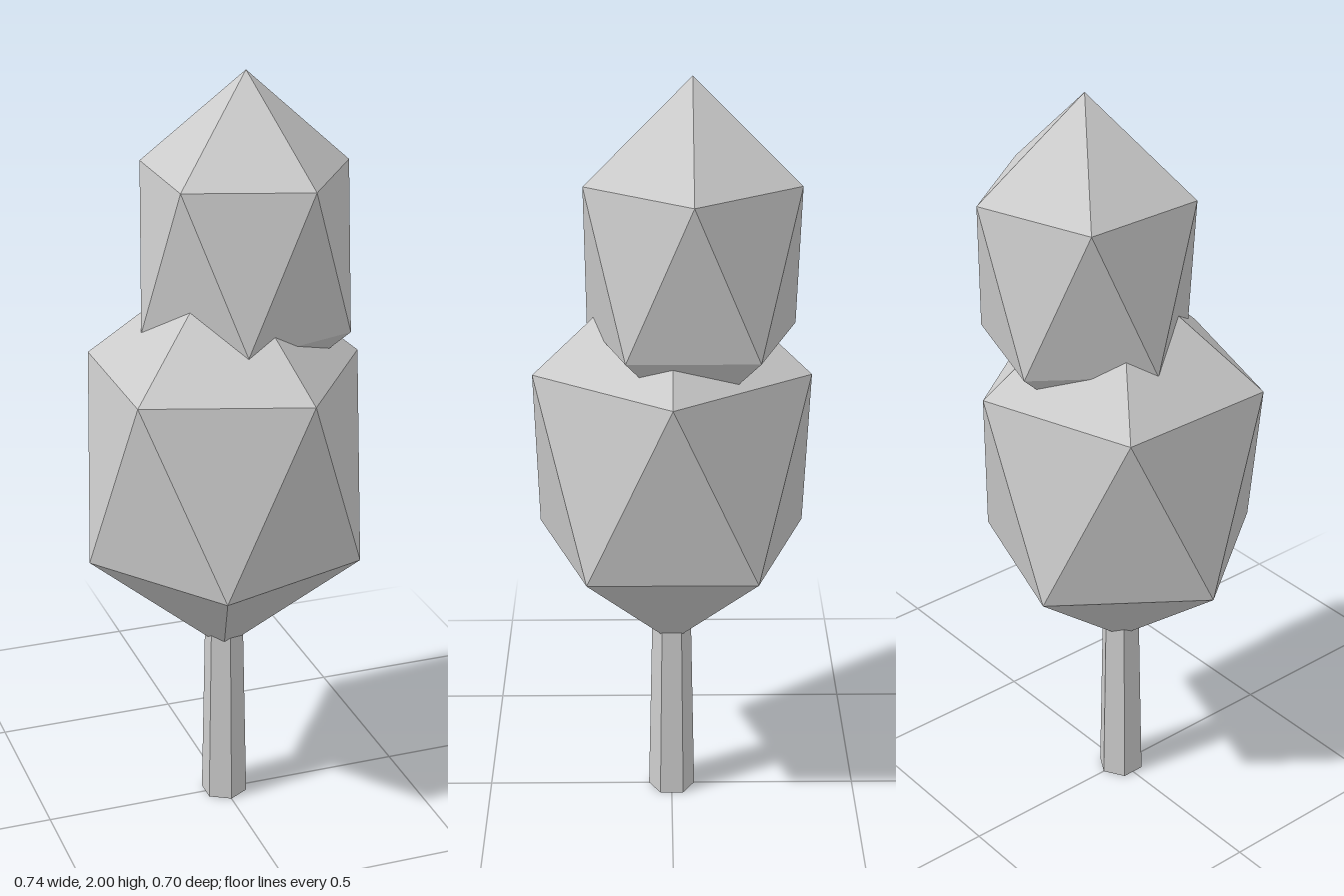
import * as THREE from 'three';

export function createModel() {
  const group = new THREE.Group();
  group.name = 'tree';
  const grey = new THREE.MeshStandardMaterial({ color: 0xcccccc, flatShading: true });
  grey.name = 'light grey';

  function add(name, geometry, x, y, z) {
    const mesh = new THREE.Mesh(geometry, grey);
    mesh.name = name;
    mesh.position.set(x, y, z);
    group.add(mesh);
  }

  // Icosahedron standing on a corner, with an upper-ring corner towards +x
  function crown(ringRadius, halfHeight) {
    const r = ringRadius * Math.sqrt(5) / 2;
    return new THREE.IcosahedronGeometry(1, 0)
      .rotateX(-Math.atan((1 + Math.sqrt(5)) / 2))
      .rotateY(Math.PI / 2)
      .scale(r, halfHeight, r);
  }

  // Tapered six-sided trunk, its top hidden inside the lower crown
  add('trunk', new THREE.CylinderGeometry(0.05, 0.0625, 0.6, 6), 0, 0.3, 0);

  // Two overlapping crowns, the upper one set off centre
  add('lowerCrown', crown(0.37, 0.559), 0, 1, 0);
  add('upperCrown', crown(0.28, 0.453), 0.075, 1.547, -0.05);

  return group;
}
